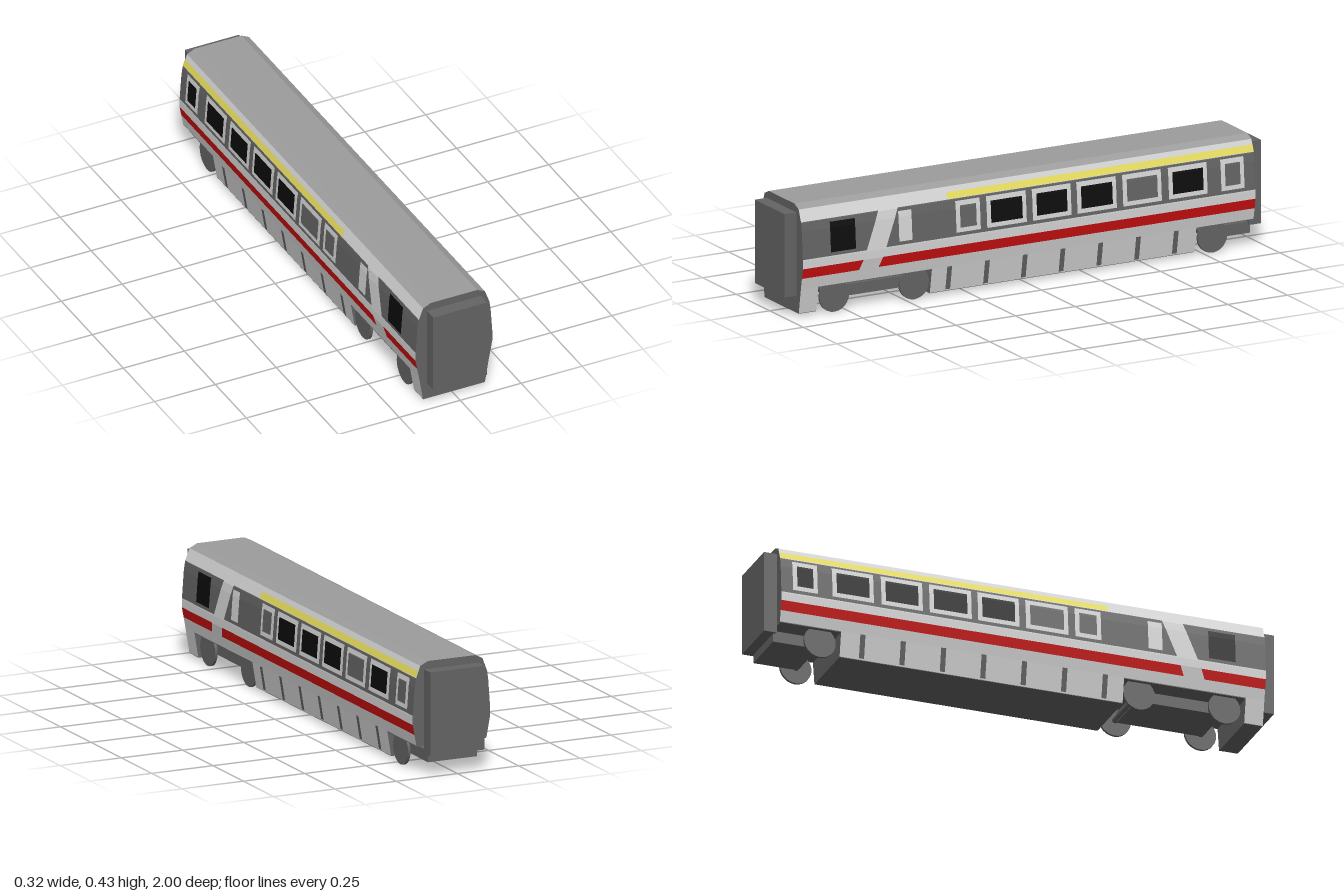
import * as THREE from 'three';

const mat = (name, color) => {
  const m = new THREE.MeshStandardMaterial({ color });
  m.name = name;
  return m;
};

// Half cross-section of the car: [half width, height]
const PROFILE = [[0.127, 0.013], [0.143, 0.11], [0.158, 0.19], [0.158, 0.22],
  [0.15, 0.33], [0.145, 0.362], [0.127, 0.41], [0.096, 0.425]];

function halfWidth(y) {
  for (let i = 1; i < PROFILE.length; i++) {
    const [x0, y0] = PROFILE[i - 1], [x1, y1] = PROFILE[i];
    if (y <= y1) return x0 + (x1 - x0) * (y - y0) / (y1 - y0);
  }
  return PROFILE[PROFILE.length - 1][0];
}

// Heights from y0 to y1, including the profile corners between them
const heights = (y0, y1) =>
  [y0, ...PROFILE.map(p => p[1]).filter(y => y > y0 + 1e-4 && y < y1 - 1e-4), y1];

export function createModel() {
  const dark = mat('darkGrey', 0x646464), light = mat('lightGrey', 0xd6d6d6);
  const roofGrey = mat('roofGrey', 0x9c9c9c), red = mat('red', 0xd01010);
  const yellow = mat('yellow', 0xe6dc5c), black = mat('windowBlack', 0x0c0c0c);
  const model = new THREE.Group();
  model.name = 'railCar';

  const add = (name, geo, material, x = 0, y = 0, z = 0) => {
    const mesh = new THREE.Mesh(geo, material);
    mesh.name = name;
    mesh.position.set(x, y, z);
    model.add(mesh);
    return mesh;
  };
  const box = (name, w, y0, y1, z0, z1, material) =>
    add(name, new THREE.BoxGeometry(w, y1 - y0, z1 - z0), material, 0, (y0 + y1) / 2, (z0 + z1) / 2);

  // Full-width slice of the body with dark ends and coloured sides
  const slab = (name, y0, y1, z0, z1, material) => {
    const ys = heights(y0, y1);
    const right = ys.map(y => new THREE.Vector2(halfWidth(y), y));
    const left = ys.map(y => new THREE.Vector2(-halfWidth(y), y)).reverse();
    const geo = new THREE.ExtrudeGeometry(new THREE.Shape([...right, ...left]),
      { depth: z1 - z0, bevelEnabled: false });
    add(name, geo, [dark, material], 0, 0, z0);
  };

  // Thin plates following both sides; shift slides the top edge along z
  const panel = (name, y0, y1, z0, z1, material, lift = 0.0015, shift = 0) => {
    const ys = heights(y0, y1);
    for (const s of [1, -1]) {
      const pos = [];
      const pt = (y, z) => [s * (halfWidth(y) + lift), y, z + shift * (y - y0) / (y1 - y0)];
      for (let i = 1; i < ys.length; i++) {
        const a = pt(ys[i - 1], z1), b = pt(ys[i - 1], z0), c = pt(ys[i], z0), d = pt(ys[i], z1);
        const tris = s > 0 ? [a, b, c, a, c, d] : [a, c, b, a, d, c];
        pos.push(...tris.flat());
      }
      const geo = new THREE.BufferGeometry();
      geo.setAttribute('position', new THREE.Float32BufferAttribute(pos, 3));
      geo.computeVertexNormals();
      add(name + (s > 0 ? 'Left' : 'Right'), geo, material);
    }
  };

  // Body, stacked in colour bands
  slab('lowerBody', 0.11, 0.152, -0.95, 0.95, light);
  slab('redStripe', 0.152, 0.19, -0.95, 0.95, red);
  slab('waistBand', 0.19, 0.225, -0.95, 0.95, light);
  slab('windowBand', 0.225, 0.365, -0.95, 0.95, dark);
  slab('upperBand', 0.365, 0.41, -0.95, 0.95, light);
  slab('roof', 0.41, 0.425, -0.95, 0.95, roofGrey);
  box('floor', 0.284, 0.107, 0.111, -0.949, 0.949, dark);

  // Skirts with dark undersides
  for (const [name, z0, z1] of [['middleSkirt', -0.71, 0.4], ['frontValance', 0.877, 0.95]]) {
    slab(name, 0.015, 0.11, z0, z1, light);
    box(name + 'Underside', 0.253, 0.013, 0.0155, z0, z1, dark);
  }
  for (let i = 0; i < 7; i++) {
    const z = 0.326 - i * 0.1585;
    panel('skirtSlot', 0.02, 0.11, z - 0.01, z + 0.01, dark);
  }

  // Painted side details
  panel('yellowLine', 0.367, 0.391, -0.95, 0.335, yellow);
  panel('slantedStripe', 0.15, 0.367, 0.63, 0.712, light, 0.002, -0.085);
  panel('cabWindow', 0.238, 0.352, 0.727, 0.832, black);
  panel('lightPanel', 0.238, 0.352, 0.49, 0.545, light);

  // Framed windows: [rear z, front z, glass]
  const windows = [[0.203, 0.305, dark], [0.01, 0.176, dark], [-0.178, -0.016, black],
    [-0.368, -0.203, black], [-0.557, -0.395, black], [-0.749, -0.587, black], [-0.904, -0.807, black]];
  // The left side has its own choice of lit and blank panes
  const leftGlass = [dark, black, black, black, dark, black, dark];
  windows.forEach(([z0, z1, glass], i) => {
    panel('windowFrame', 0.238, 0.356, z0, z1, light);
    panel('windowPane', 0.255, 0.338, z0 + 0.017, z1 - 0.017, glass, 0.003);
    model.children[model.children.length - 2].material = leftGlass[i];
  });

  // Gangways at both ends
  box('frontGangway', 0.222, 0.078, 0.395, 0.95, 1, dark);
  box('rearGangway', 0.222, 0.078, 0.395, -1, -0.95, dark);

  // Bogies; the rear one is shared with the next car, so only half is present
  box('frontBogieFrame', 0.2, 0.045, 0.088, 0.465, 0.8, dark);
  box('frontBogiePivot', 0.1, 0.085, 0.11, 0.6, 0.67, dark);
  box('rearBogieFrame', 0.2, 0.045, 0.088, -0.96, -0.787, dark);
  box('rearBogiePivot', 0.1, 0.085, 0.11, -0.96, -0.92, dark);
  const wheelGeo = new THREE.CylinderGeometry(0.062, 0.062, 0.01, 24).rotateZ(Math.PI / 2);
  const axleGeo = new THREE.CylinderGeometry(0.012, 0.012, 0.236, 10).rotateZ(Math.PI / 2);
  for (const z of [0.8, 0.465, -0.787]) {
    add('axle', axleGeo, dark, 0, 0.062, z);
    for (const s of [1, -1]) add('wheel', wheelGeo, dark, s * 0.122, 0.062, z);
  }
  return model;
}
